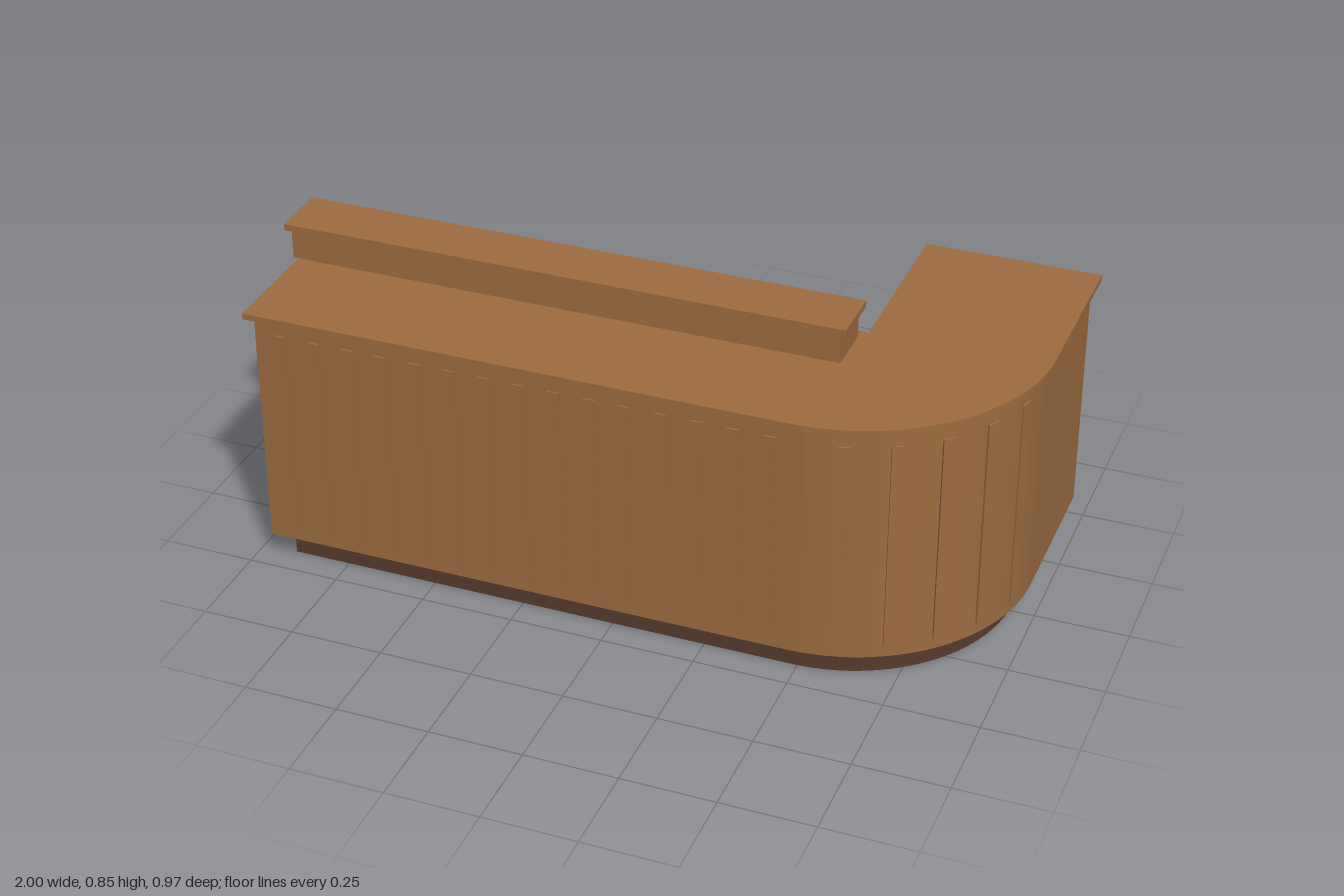
import * as THREE from 'three';

const wood = new THREE.MeshStandardMaterial({ color: 0x9c6c40 });
wood.name = 'warm wood';
const darkWood = new THREE.MeshStandardMaterial({ color: 0x573a2d });
darkWood.name = 'dark plinth wood';

// Centre and radius of the rounded corner of the cabinet
const CX = 0.483, CZ = -0.03, R = 0.495;

// L-shaped slab with one rounded outer corner, grown by `grow` on every side
function counterSlab(name, grow, y0, y1, material) {
  const r = R + grow;
  const left = -0.95 - grow, back = -0.465 - grow;
  const innerX = 0.55 - grow, innerZ = 0.03 - grow;
  // shape y is -z, so that the extrusion can be turned upright
  const s = new THREE.Shape();
  s.moveTo(left, -(CZ + r));
  s.lineTo(CX, -(CZ + r));
  s.absarc(CX, -CZ, r, -Math.PI / 2, 0, false);
  s.lineTo(CX + r, -back);
  s.lineTo(innerX, -back);
  s.lineTo(innerX, -innerZ);
  s.lineTo(left, -innerZ);
  s.closePath();
  const geo = new THREE.ExtrudeGeometry(s, { depth: y1 - y0, bevelEnabled: false, curveSegments: 12 });
  geo.rotateX(-Math.PI / 2);
  geo.translate(0, y0, 0);
  const mesh = new THREE.Mesh(geo, material);
  mesh.name = name;
  return mesh;
}

function box(name, x0, x1, y0, y1, z0, z1) {
  const mesh = new THREE.Mesh(new THREE.BoxGeometry(x1 - x0, y1 - y0, z1 - z0), wood);
  mesh.position.set((x0 + x1) / 2, (y0 + y1) / 2, (z0 + z1) / 2);
  mesh.name = name;
  return mesh;
}

export function createModel() {
  const model = new THREE.Group();
  model.name = 'curvedCounter';

  // Recessed plinth, cabinet and overhanging worktop
  model.add(counterSlab('plinth', -0.045, 0, 0.075, darkWood));
  model.add(counterSlab('cabinet', 0, 0.075, 0.733, wood));
  model.add(counterSlab('worktop', 0.021, 0.733, 0.75, wood));

  // Raised service shelf
  const shelf = new THREE.Group();
  shelf.name = 'raisedShelf';
  shelf.add(box('shelfRiser', -0.985, 0.51, 0.75, 0.832, 0.038, 0.177));
  shelf.add(box('shelfCap', -1, 0.525, 0.832, 0.85, 0.027, 0.187));
  model.add(shelf);

  // Vertical slats along the front and round the corner
  const slats = new THREE.Group();
  slats.name = 'slats';
  const slatGeo = new THREE.BoxGeometry(0.032, 0.583, 0.01);
  const addSlat = (x, z, turn) => {
    const slat = new THREE.Mesh(slatGeo, wood);
    slat.position.set(x, 0.4, z);
    slat.rotation.y = turn;
    slat.name = 'slat';
    slats.add(slat);
  };
  for (let i = 0; i < 15; i++) addSlat(-0.88 + i * 0.0936, CZ + R, 0);
  for (let i = 1; i <= 5; i++) {
    const a = (i * Math.PI) / 12;
    addSlat(CX + R * Math.sin(a), CZ + R * Math.cos(a), a);
  }
  model.add(slats);

  return model;
}
